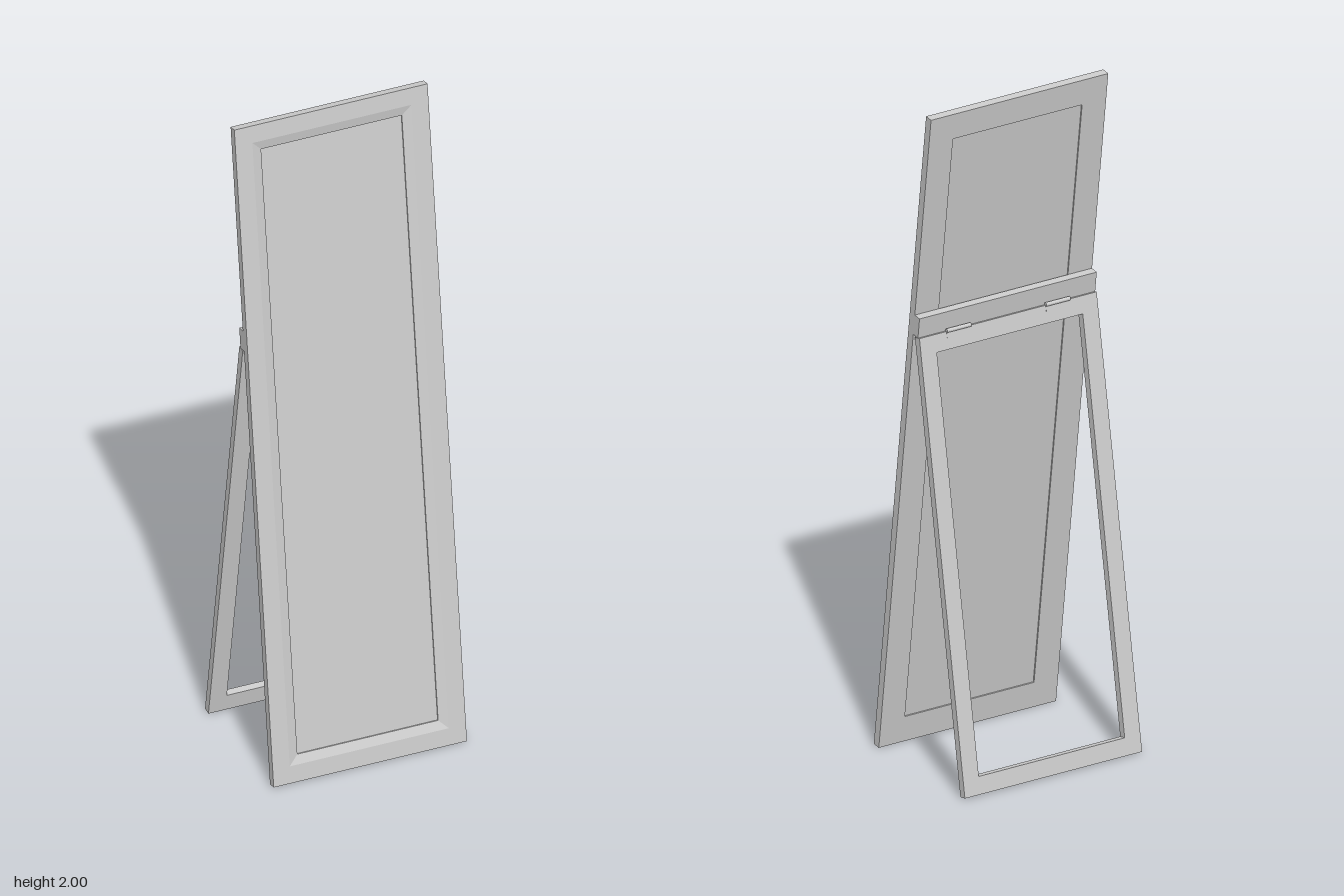
import * as THREE from 'three';

const grey = new THREE.MeshStandardMaterial({ color: 0xcccccc, flatShading: true });
const W = 0.59;

function add(parent, name, geometry, x = 0, y = 0, z = 0) {
  const mesh = new THREE.Mesh(geometry, grey);
  mesh.name = name;
  mesh.position.set(x, y, z);
  parent.add(mesh);
  return mesh;
}

// Mitred frame standing on y = 0; its section is a list of [inset from edge, z]
function frameGeometry(width, height, section) {
  const ring = ([inset, z]) => {
    const x = width / 2 - inset, y0 = inset, y1 = height - inset;
    return [[-x, y0, z], [x, y0, z], [x, y1, z], [-x, y1, z]];
  };
  const points = [];
  for (let i = 0; i < section.length - 1; i++) {
    const low = ring(section[i]), high = ring(section[i + 1]);
    for (let j = 0; j < 4; j++) {
      const k = (j + 1) % 4;
      points.push(...low[j], ...low[k], ...high[k], ...low[j], ...high[k], ...high[j]);
    }
  }
  const geometry = new THREE.BufferGeometry();
  geometry.setAttribute('position', new THREE.Float32BufferAttribute(points, 3));
  geometry.computeVertexNormals();
  return geometry;
}

export function createModel() {
  const model = new THREE.Group();
  model.name = 'standingMirror';

  // Leaning mirror: bevelled frame around a recessed pane
  const H = 2.014;
  const mirror = new THREE.Group();
  mirror.name = 'mirror';
  mirror.position.z = 0.203;
  mirror.rotation.x = -0.131;
  model.add(mirror);
  add(mirror, 'mirrorFrame', frameGeometry(W, H, [
    [0.08, 0.004], [0.08, 0], [0, 0], [0, 0.025], [0.052, 0.025], [0.08, 0.018], [0.08, 0.014],
  ]));
  add(mirror, 'mirrorPane', new THREE.BoxGeometry(W - 0.16, H - 0.16, 0.01), 0, H / 2, 0.009);

  // Rail on the back that carries the stand
  add(mirror, 'hingeRail', new THREE.BoxGeometry(W, 0.062, 0.024), 0, 1.358, -0.012);

  // Open rear stand
  const L = 1.33, T = 0.023;
  const stand = new THREE.Group();
  stand.name = 'stand';
  stand.position.z = -0.208;
  stand.rotation.x = 0.173;
  model.add(stand);
  add(stand, 'standFrame', frameGeometry(W, L, [
    [0.052, -T], [0, -T], [0, 0], [0.052, 0], [0.052, -T],
  ]));

  // Hinges between rail and stand
  for (const side of [-1, 1]) {
    const knuckle = new THREE.CylinderGeometry(0.006, 0.006, 0.08, 12).rotateZ(Math.PI / 2);
    add(stand, 'hingeKnuckle', knuckle, side * 0.165, L + 0.002, -T);
    add(stand, 'hingeLeaf', new THREE.BoxGeometry(0.08, 0.02, 0.002), side * 0.165, L - 0.008, -T);
  }
  return model;
}
